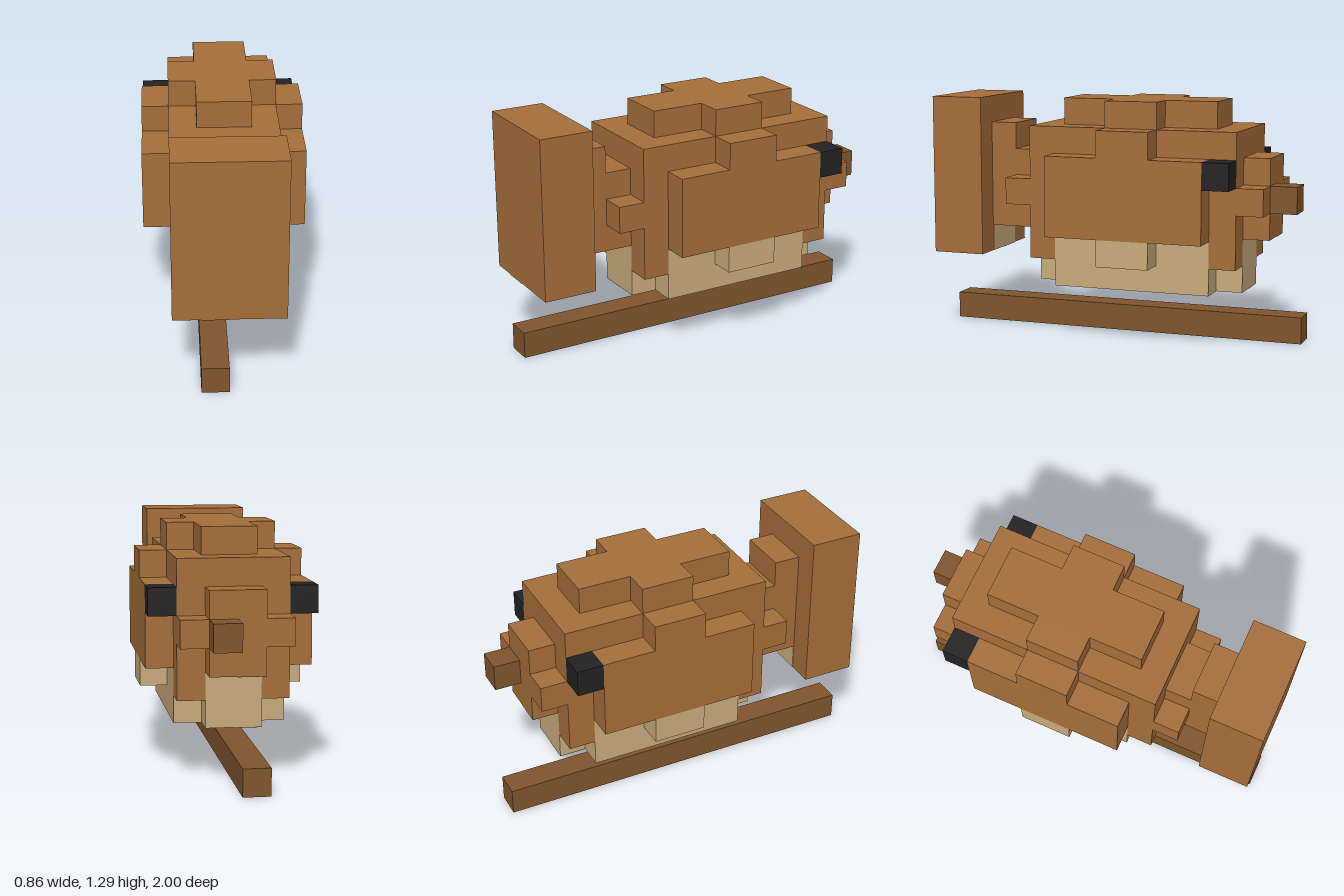
import * as THREE from 'three';

const U = 1 / 7; // one block

const mats = {
  brown: new THREE.MeshStandardMaterial({ color: 0xa56e3a }),
  tan: new THREE.MeshStandardMaterial({ color: 0xc8ab7c }),
  darkBrown: new THREE.MeshStandardMaterial({ color: 0x80552d }),
  black: new THREE.MeshStandardMaterial({ color: 0x222222 }),
};
for (const key in mats) mats[key].name = key;

export function createModel() {
  const model = new THREE.Group();
  model.name = 'blockFish';

  // Box from corner to corner, in block units
  function box(name, mat, [x0, x1], [y0, y1], [z0, z1]) {
    const geo = new THREE.BoxGeometry((x1 - x0) * U, (y1 - y0) * U, (z1 - z0) * U);
    const mesh = new THREE.Mesh(geo, mats[mat]);
    mesh.name = name;
    mesh.position.set((x0 + x1) / 2 * U, (y0 + y1) / 2 * U, (z0 + z1) / 2 * U);
    model.add(mesh);
  }
  // The same box on both sides of the model
  function pair(name, mat, [x0, x1], y, z) {
    box(name + 'Left', mat, [x0, x1], y, z);
    box(name + 'Right', mat, [-x1, -x0], y, z);
  }

  // Pole underneath
  box('pole', 'darkBrown', [-1, 0], [0, 1], [-7, 7]);

  // Body and cross-shaped back
  box('body', 'brown', [-2, 2], [4, 8], [-5, 3]);
  box('backRidge', 'brown', [-1, 1], [8, 9], [-4, 2]);
  pair('backRidgeSide', 'brown', [1, 2], [8, 9], [-2, 0]);
  pair('flank', 'brown', [2, 3], [4, 7], [-4, 2]);
  pair('flankTop', 'brown', [2, 3], [7, 8], [-2, 0]);

  // Belly
  box('belly', 'tan', [-2, 2], [2, 4], [-4, 2]);
  pair('bellySide', 'tan', [2, 3], [3, 4], [-2, 0]);
  for (const [end, z] of [['head', [-5, -4]], ['tail', [2, 3]]]) {
    box(end + 'Belly', 'tan', [-1, 1], [2, 4], z);
    pair(end + 'Corner', 'brown', [1, 2], [3, 4], z);
  }

  // Head and tail root share a plus-shaped cross-section
  for (const [end, z] of [['head', [-6, -5]], ['tailRoot', [3, 4]]]) {
    box(end, 'brown', [-1, 1], [4, 7], z);
    pair(end + 'Side', 'brown', [1, 2], [5, 6], z);
  }
  box('nose', 'darkBrown', [0, 1], [5, 6], [-7, -6]);
  pair('eye', 'black', [2, 3], [6, 7], [-5, -4]);

  // Tail
  box('tailStem', 'brown', [-1, 1], [4, 8], [4, 5]);
  box('tailFin', 'brown', [-2, 2], [3, 9], [5, 7]);
  box('tailFinPatch', 'tan', [-1, 1], [3, 4], [4.98, 5]);

  // Dark stripe along the underside
  const stripe = [[4, -6, -5], [2, -5, 3], [4, 3, 5], [3, 5, 7]];
  for (const [y, z0, z1] of stripe) {
    box('undersideStripe', 'darkBrown', [-1, 0], [y - 0.02, y], [z0, z1]);
  }

  return model;
}
